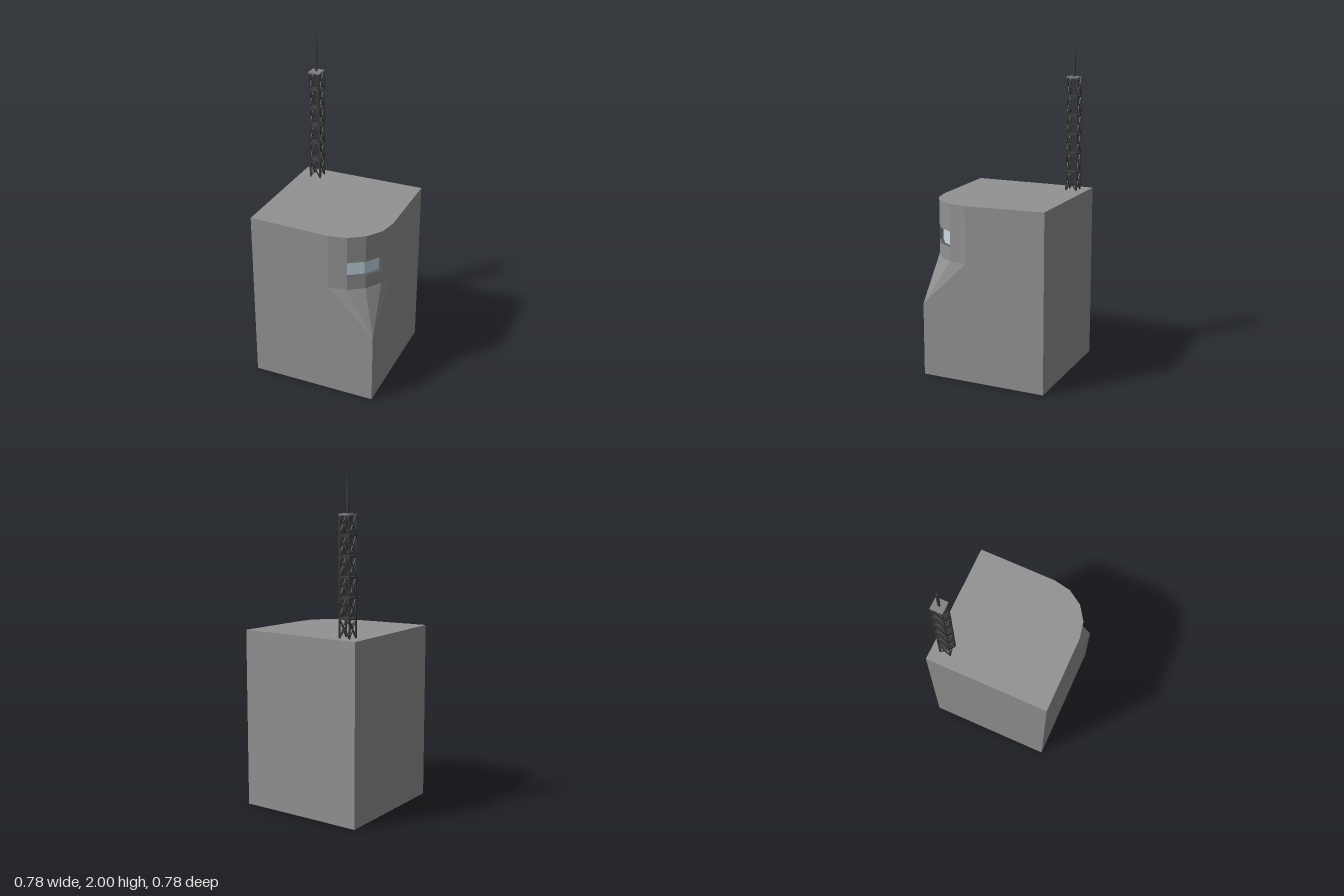
import * as THREE from 'three';

const H = 0.39;                                  // half width of the block
const C = 0.105, R = 0.285, RG = 0.262;          // corner centre, wall radius, glass radius
const TOP = 1.08, DIP = 1.07, LEDGE = 0.726, TIP = 0.447;
const SILL = 0.811, HEAD = 0.904;
const MAST = 0.696;                              // lattice height

const paint = color => new THREE.MeshStandardMaterial({ color, flatShading: true });
const wallMat = paint(0x929292);
const revealMat = paint(0x5c5c5c);
const glassMat = paint(0xc6dde5);
const steelMat = paint(0x3a3a3a);
const plateMat = paint(0x808080);

function mesh(name, geometry, material) {
  const m = new THREE.Mesh(geometry, material);
  m.name = name;
  return m;
}

// Flat-faced geometry from polygons, each fanned from its first corner
function fromPolygons(polys) {
  const pos = [];
  for (const p of polys)
    for (let i = 1; i < p.length - 1; i++) pos.push(...p[0], ...p[i], ...p[i + 1]);
  const g = new THREE.BufferGeometry();
  g.setAttribute('position', new THREE.Float32BufferAttribute(pos, 3));
  g.computeVertexNormals();
  return g;
}

// Point on the rounded corner at step i of 4
function arc(i, y, r = R) {
  const a = i * Math.PI / 8;
  return [C + r * Math.cos(a), y, C + r * Math.sin(a)];
}
const band = (i, y0, y1, r) => [arc(i + 1, y0, r), arc(i, y0, r), arc(i, y1, r), arc(i + 1, y1, r)];

function building() {
  const group = new THREE.Group();
  group.name = 'building';

  // Flat walls: the two beside the rounded corner mirror each other
  const front = [[-H, 0, H], [H, 0, H], [H, TIP, H], [C, LEDGE, H], [C, DIP, H], [-H, TOP, H]];
  const right = front.map(([x, y, z]) => [z, y, x]).reverse();
  right.unshift(right.pop());
  group.add(mesh('walls', fromPolygons([
    front, right,
    [[H, 0, -H], [-H, 0, -H], [-H, TOP, -H], [H, TOP, -H]],
    [[-H, 0, -H], [-H, 0, H], [-H, TOP, H], [-H, TOP, -H]],
    [[-H, 0, -H], [H, 0, -H], [H, 0, H], [-H, 0, H]],
  ]), wallMat));

  // Roof, dipping slightly toward the rounded corner
  const edge = [4, 3, 2, 1, 0].map(i => arc(i, DIP));
  group.add(mesh('roof', fromPolygons([[[-H, TOP, -H], [-H, TOP, H], ...edge, [H, TOP, -H]]]), wallMat));

  // Rounded corner with a window opening, tapering to the square corner below
  const corner = [], taper = [], reveal = [], glass = [];
  for (let i = 0; i < 4; i++) {
    taper.push([[H, TIP, H], arc(i, LEDGE), arc(i + 1, LEDGE)]);
    if (i === 0 || i === 3) { corner.push(band(i, LEDGE, DIP)); continue; }
    corner.push(band(i, LEDGE, SILL), band(i, HEAD, DIP));
    glass.push(band(i, SILL, HEAD, RG));
    const ledge = y => [arc(i, y, RG), arc(i + 1, y, RG), arc(i + 1, y), arc(i, y)];
    reveal.push(ledge(SILL), ledge(HEAD).reverse());
  }
  const jamb = i => [arc(i, SILL, RG), arc(i, SILL), arc(i, HEAD), arc(i, HEAD, RG)];
  reveal.push(jamb(1), jamb(3).reverse());
  group.add(mesh('roundedCorner', fromPolygons(corner), wallMat));
  group.add(mesh('cornerTaper', fromPolygons(taper), wallMat));
  group.add(mesh('windowReveal', fromPolygons(reveal), revealMat));
  group.add(mesh('windowGlass', fromPolygons(glass), glassMat));
  return group;
}

// Square steel bar between two points
function bar(name, a, b, t) {
  const A = new THREE.Vector3(...a), B = new THREE.Vector3(...b);
  const m = mesh(name, new THREE.BoxGeometry(t, A.distanceTo(B), t), steelMat);
  m.position.copy(A).add(B).multiplyScalar(0.5);
  m.quaternion.setFromUnitVectors(new THREE.Vector3(0, 1, 0), B.sub(A).normalize());
  return m;
}

function mast() {
  const group = new THREE.Group();
  group.name = 'mast';
  const w = 0.033, bays = 6, h = MAST / bays;

  // Four identical lattice sides
  for (let s = 0; s < 4; s++) {
    const side = new THREE.Group();
    side.name = 'latticeSide';
    side.add(bar('post', [-w, 0, w], [-w, MAST - 0.002, w], 0.008));
    for (let k = 0; k < bays; k++) {
      side.add(bar('brace', [-w, k * h, w], [w, (k + 1) * h - 0.004, w], 0.006));
      side.add(bar('brace', [w, k * h, w], [-w, (k + 1) * h - 0.004, w], 0.006));
    }
    side.rotation.y = s * Math.PI / 2;
    group.add(side);
  }

  // Plate on top of every bay, the topmost one lighter
  for (let k = 1; k <= bays; k++) {
    const material = k === bays ? plateMat : steelMat;
    const plate = mesh('plate', new THREE.BoxGeometry(0.075, 0.01, 0.075), material);
    plate.position.y = k * h - 0.005;
    group.add(plate);
  }

  // Stepped antenna
  group.add(bar('antennaBase', [0, MAST, 0], [0, 0.845, 0], 0.012));
  group.add(bar('antennaTip', [0, 0.845, 0], [0, 0.92, 0], 0.003));
  group.position.set(-0.28, TOP, -0.3);
  return group;
}

export function createModel() {
  const model = new THREE.Group();
  model.name = 'cornerBuilding';
  model.add(building(), mast());
  return model;
}
